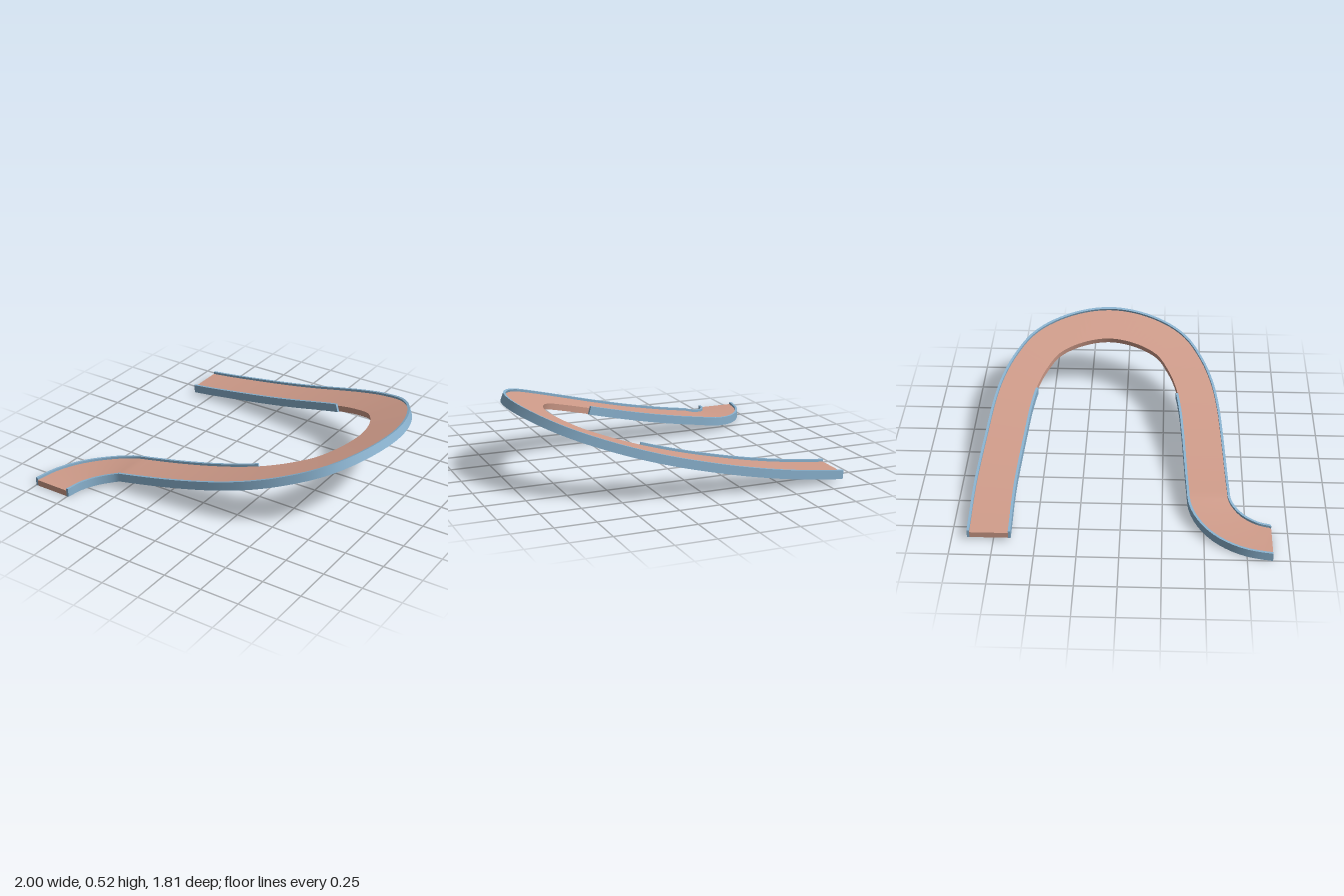
import * as THREE from 'three';

export function createModel() {
  const group = new THREE.Group();
  const floorMat = new THREE.MeshStandardMaterial({ name: 'salmon floor', color: 0xd09c8a });
  const railMat = new THREE.MeshStandardMaterial({ name: 'blue rail', color: 0x8ab3d0 });

  // Plan centreline: short entry bend, then a U-turn mirrored about z = -0.125
  const mid = -0.125;
  const entry = [[-0.87, 0.9], [-0.84, 0.775], [-0.77, 0.66], [-0.68, 0.583], [-0.58, 0.537]];
  const half = [[-0.46, 0.65], [-0.01, 0.62], [0.2, 0.6], [0.37, 0.569], [0.54, 0.51], [0.71, 0.405], [0.825, 0.22]];
  const plan = [
    ...entry,
    ...half.map(([x, d]) => [x, mid + d]),
    [0.87, mid],
    ...half.slice().reverse().map(([x, d]) => [x, mid - d]),
    [-0.865, mid - 0.65],
  ];
  const curve = new THREE.CatmullRomCurve3(plan.map(([x, z]) => new THREE.Vector3(x, 0, z)));
  const N = 120;
  const length = curve.getLength();

  // Climb follows x; the entry bend eases down to level ground
  const climb = (x) => 0.16 + 0.231 * x + 0.079 * x * x;
  const slope = (x) => 0.231 + 0.158 * x;
  const frames = [];
  for (let i = 0; i <= N; i++) {
    const u = i / N;
    const t = curve.getTangentAt(u);
    if (i === 0) t.set(0, 0, -1);
    if (i === N) t.set(-1, 0, 0);
    frames.push({ p: curve.getPointAt(u), nx: -t.z, nz: t.x, k: Math.min(1, (u * length) / 0.55) });
  }

  // Point at sideways offset o and height h above the bent base surface
  function pointAt(i, o, h) {
    const { p, nx, nz, k } = frames[i];
    const x = p.x + o * nx;
    const a = Math.atan(slope(x) * k);
    return [x - h * Math.sin(a), climb(x) * k + h * Math.cos(a), p.z + o * nz];
  }

  // Sweep a rectangular section along samples i0..i1 with sharp long edges
  function sweep(name, material, o0, o1, h0, h1, i0, i1) {
    const corners = [[o0, h0], [o1, h0], [o1, h1], [o0, h1]];
    const pos = [];
    const index = [];
    for (let c = 0; c < 4; c++) {
      const p = corners[c];
      const q = corners[(c + 1) % 4];
      for (let i = i0; i <= i1; i++) {
        const b = pos.length / 3;
        pos.push(...pointAt(i, ...p), ...pointAt(i, ...q));
        if (i < i1) index.push(b, b + 2, b + 3, b, b + 3, b + 1);
      }
    }
    // End caps
    for (const i of [i0, i1]) {
      const b = pos.length / 3;
      corners.forEach((c) => pos.push(...pointAt(i, ...c)));
      if (i === i0) index.push(b, b + 1, b + 2, b, b + 2, b + 3);
      else index.push(b, b + 2, b + 1, b, b + 3, b + 2);
    }
    const geo = new THREE.BufferGeometry();
    geo.setAttribute('position', new THREE.Float32BufferAttribute(pos, 3));
    geo.setIndex(index);
    geo.computeVertexNormals();
    const mesh = new THREE.Mesh(geo, material);
    mesh.name = name;
    group.add(mesh);
  }

  // The inner rail is left out around the turn
  const W = 0.13;
  const R = 0.115;
  const inTurn = frames.map((f, i) => pointAt(i, -W, 0.05)[0] > 0.29);
  const gapStart = inTurn.indexOf(true);
  const gapEnd = inTurn.lastIndexOf(true);

  sweep('trackFloor', floorMat, -R, R, 0, 0.04, 0, N);
  sweep('outerRail', railMat, R, W, 0, 0.055, 0, N);
  sweep('innerRailEntry', railMat, -W, -R, 0, 0.055, 0, gapStart);
  sweep('innerRailExit', railMat, -W, -R, 0, 0.055, gapEnd, N);
  return group;
}
